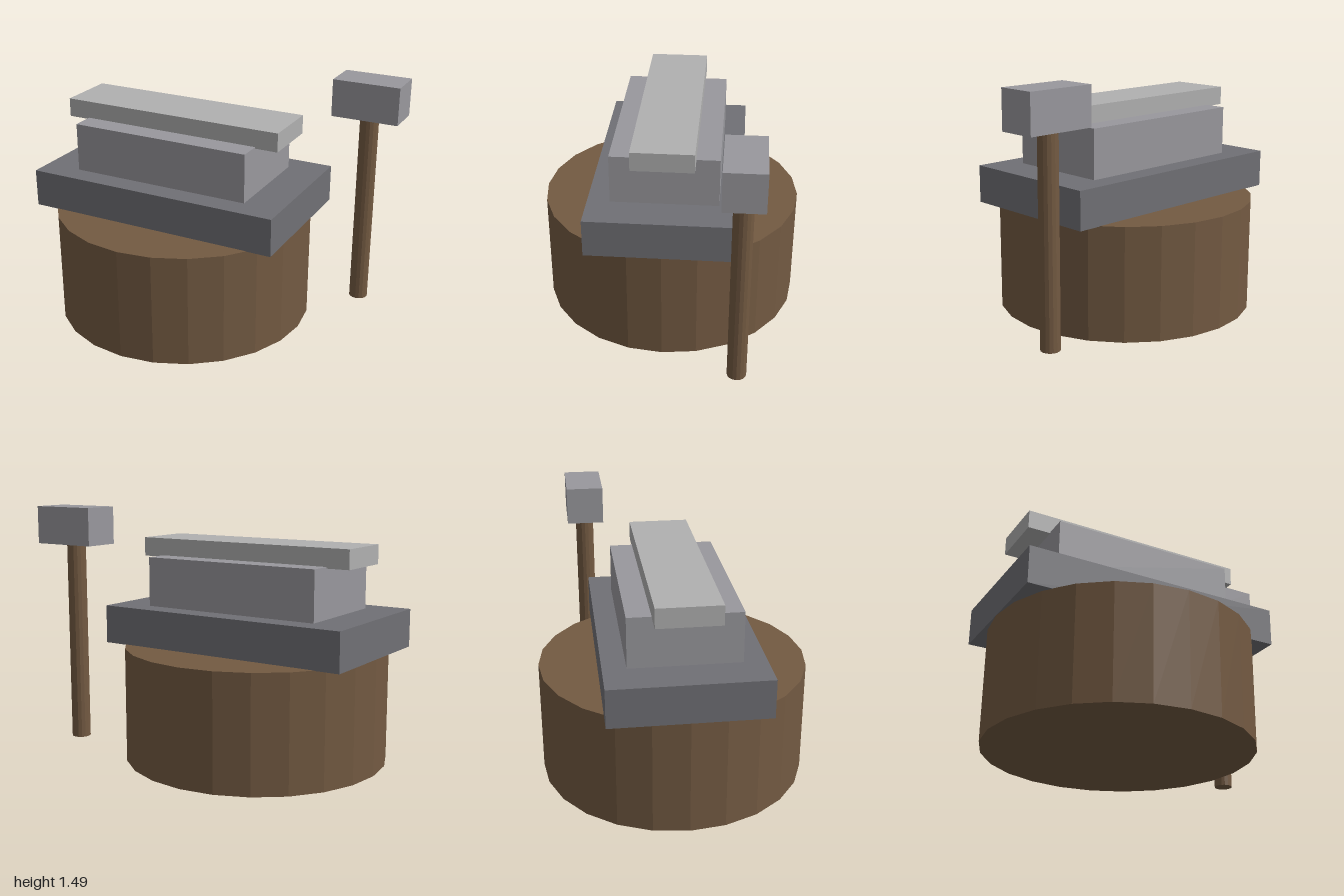
import * as THREE from 'three';

const material = (color) => new THREE.MeshStandardMaterial({ color, flatShading: true });

export function createModel() {
  const model = new THREE.Group();
  model.name = 'anvilAndHammer';
  const wood = material(0x735a42);
  const darkIron = material(0x707075);
  const iron = material(0x99989d);
  const paleIron = material(0xb0b0b0);

  const add = (parent, name, geometry, mat, x, y, z) => {
    const mesh = new THREE.Mesh(geometry, mat);
    mesh.name = name;
    mesh.position.set(x, y, z);
    parent.add(mesh);
  };
  // Box with its underside at y = bottom
  const block = (parent, name, mat, [w, h, d], x, bottom, z) =>
    add(parent, name, new THREE.BoxGeometry(w, h, d), mat, x, bottom + h / 2, z);
  // Upright cylinder with its underside at y = bottom
  const post = (parent, name, radius, height, sides, x, bottom, z) =>
    add(parent, name, new THREE.CylinderGeometry(radius, radius, height, sides), wood, x, bottom + height / 2, z);

  // Wooden stump
  const centerX = -0.215;
  post(model, 'stump', 0.785, 0.677, 24, centerX, 0, 0);

  // Stepped anvil on the stump
  const anvil = new THREE.Group();
  anvil.name = 'anvil';
  block(anvil, 'anvilBase', darkIron, [1.57, 0.225, 0.892], centerX, 0.675, 0);
  block(anvil, 'anvilBody', iron, [1.116, 0.292, 0.628], centerX, 0.9, 0);
  block(anvil, 'anvilFace', paleIron, [1.39, 0.112, 0.358], centerX, 1.183, 0);
  model.add(anvil);

  // Upright hammer beside the anvil
  const hammer = new THREE.Group();
  hammer.name = 'hammer';
  post(hammer, 'hammerHandle', 0.056, 1.21, 16, 0.795, 0.06, -0.449);
  block(hammer, 'hammerHead', iron, [0.404, 0.224, 0.224], 0.797, 1.261, -0.449);
  model.add(hammer);

  return model;
}
